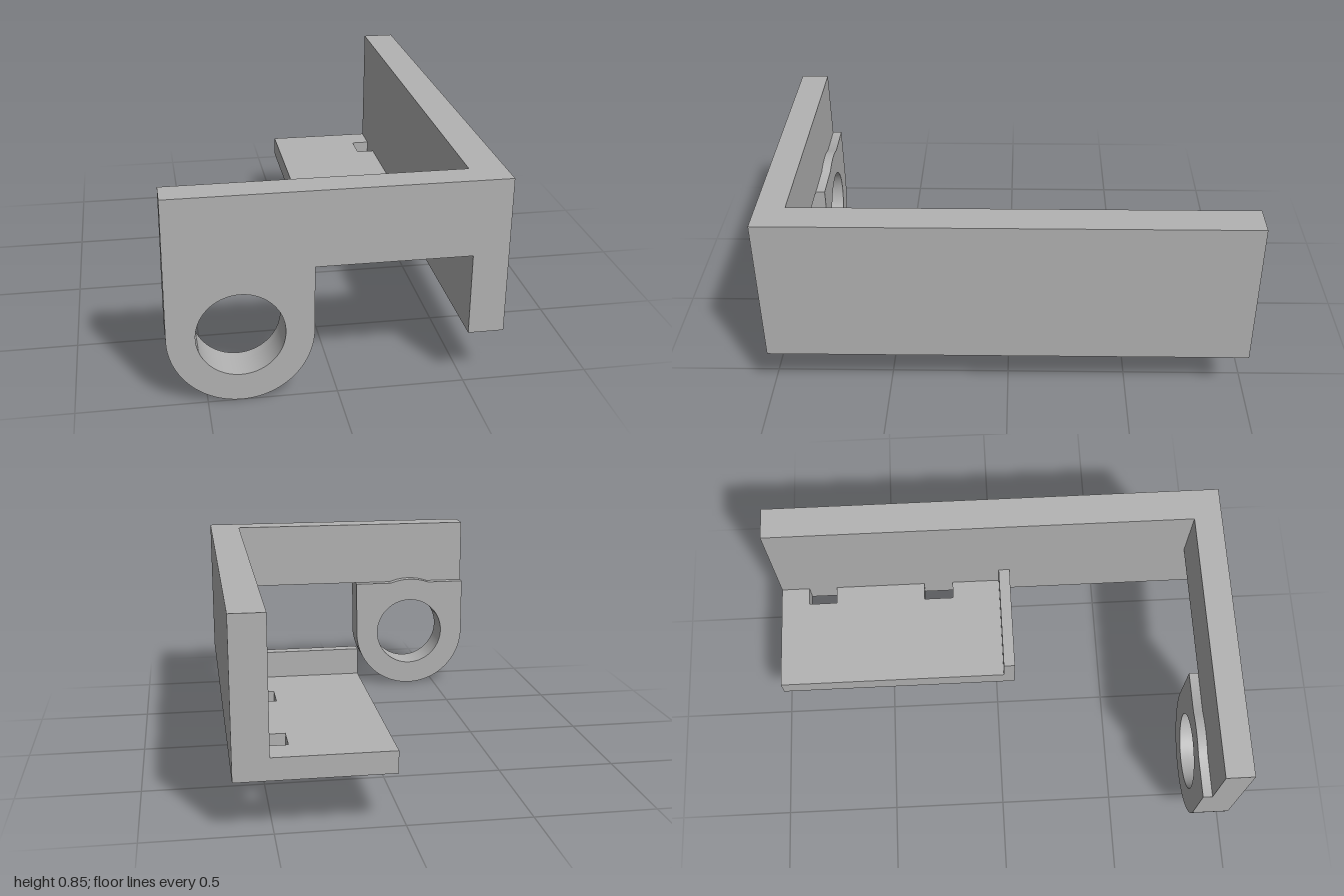
import * as THREE from 'three';
import { toCreasedNormals } from 'three/addons/utils/BufferGeometryUtils.js';

const metal = new THREE.MeshStandardMaterial({ color: 0xb3b3b3 });
metal.name = 'grey metal';

// Ring centre, outer radius and bore radius
const CX = -0.37, CY = 0.283, R = 0.28, BORE = 0.17;
const FLOOR = 0.215, TOP = 0.85, SHELF = 0.545;

function add(group, name, geometry) {
  const mesh = new THREE.Mesh(geometry, metal);
  mesh.name = name;
  group.add(mesh);
  return mesh;
}

function box(group, name, x0, x1, y0, y1, z0, z1) {
  const mesh = add(group, name, new THREE.BoxGeometry(x1 - x0, y1 - y0, z1 - z0));
  mesh.position.set((x0 + x1) / 2, (y0 + y1) / 2, (z0 + z1) / 2);
}

function slab(shape, depth) {
  const g = new THREE.ExtrudeGeometry(shape, { depth, bevelEnabled: false, curveSegments: 48 });
  return toCreasedNormals(g, 0.5);
}

// Shape with the round lower end and bore; the caller finishes its top edge
function lugShape(finishTop) {
  const s = new THREE.Shape();
  s.moveTo(CX - R, CY);
  s.absarc(CX, CY, R, Math.PI, Math.PI * 2, false);
  finishTop(s);
  s.closePath();
  const bore = new THREE.Path();
  bore.absarc(CX, CY, BORE, 0, Math.PI * 2, true);
  s.holes.push(bore);
  return s;
}

export function createModel() {
  const group = new THREE.Group();
  group.name = 'bracket';

  // Front plate with hanging ring lug
  const plate = lugShape((s) => {
    s.lineTo(CX + R, SHELF);
    s.lineTo(0.51, SHELF);
    s.lineTo(0.51, TOP);
    s.lineTo(CX - R, TOP);
  });
  add(group, 'frontPlate', slab(plate, 0.12)).position.z = 0.88;

  // Raised boss behind the lug, its top swelling around the ring
  const a = Math.asin((SHELF - CY) / R);
  const boss = lugShape((s) => {
    s.lineTo(CX + R, SHELF);
    s.absarc(CX, CY, R, a, Math.PI - a, false);
    s.lineTo(CX - R, SHELF);
  });
  add(group, 'lugBoss', slab(boss, 0.04)).position.z = 0.84;

  // Long side wall
  box(group, 'sideWall', 0.51, 0.65, FLOOR, TOP, -1, 1);

  // Tray floor, notched along the wall (shape y becomes -z)
  const tray = new THREE.Shape();
  tray.moveTo(0.03, -0.08);
  tray.lineTo(0.51, -0.08);
  for (const [z0, z1] of [[-0.19, -0.325], [-0.74, -0.87]]) {
    tray.lineTo(0.51, -z0);
    tray.lineTo(0.43, -z0);
    tray.lineTo(0.43, -z1);
    tray.lineTo(0.51, -z1);
  }
  tray.lineTo(0.51, 1);
  tray.lineTo(0.03, 1);
  tray.closePath();
  const floor = add(group, 'trayFloor', slab(tray, 0.09));
  floor.rotation.x = -Math.PI / 2;
  floor.position.y = FLOOR;

  // Upright lip at the front end of the tray
  box(group, 'trayLip', 0.03, 0.51, FLOOR + 0.09, 0.42, 0.03, 0.08);

  return group;
}
